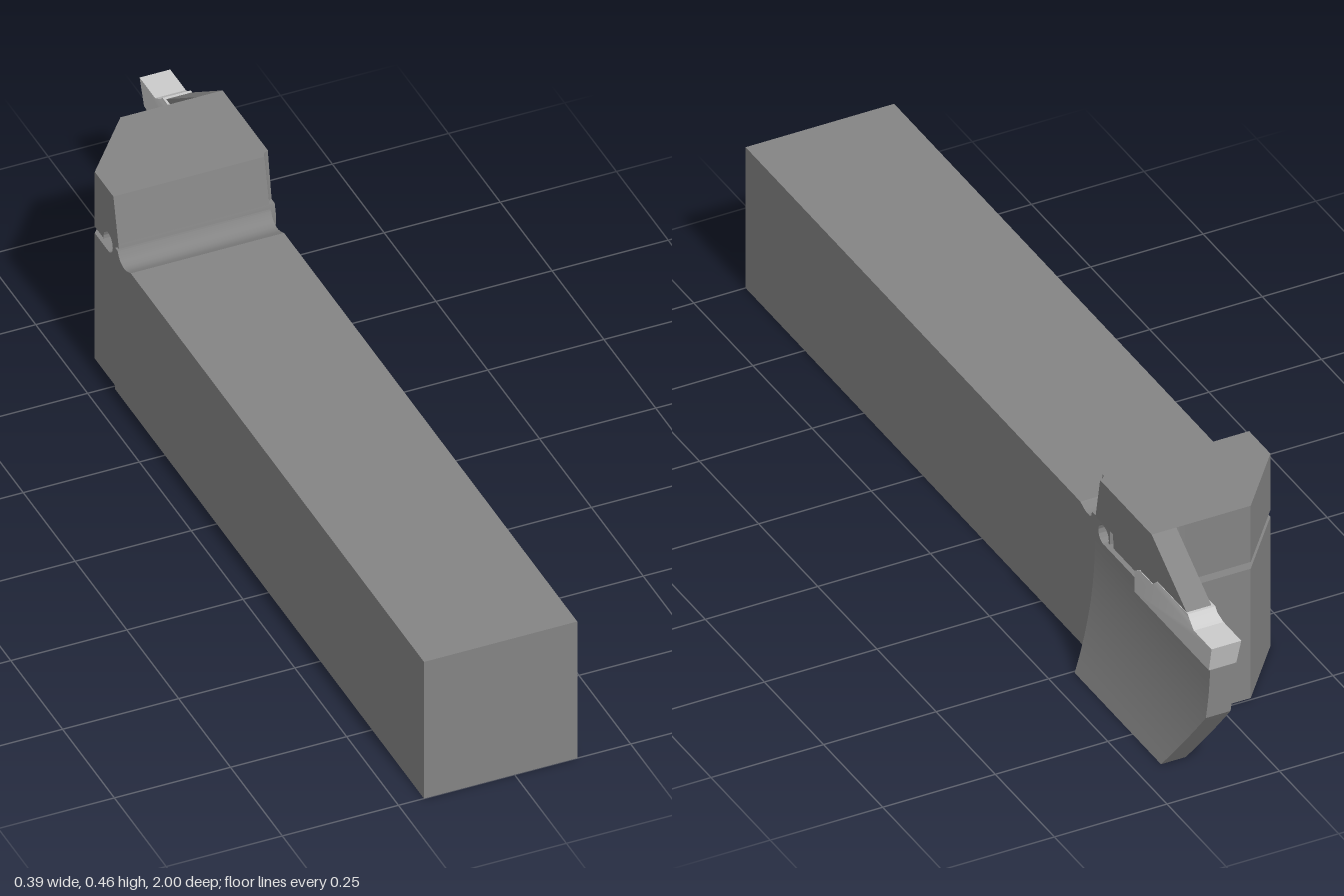
import * as THREE from 'three';
import { toCreasedNormals } from 'three/addons/utils/BufferGeometryUtils.js';

const steel = new THREE.MeshStandardMaterial({ color: 0x848484 });
const carbide = new THREE.MeshStandardMaterial({ color: 0xcccccc });

function part(name, geometry, material) {
  const mesh = new THREE.Mesh(toCreasedNormals(geometry, 0.4), material);
  mesh.name = name;
  return mesh;
}

// Extrude a side profile (u = -z, y) across the width from x0 to x1
function sideExtrude(shape, x0, x1) {
  const g = new THREE.ExtrudeGeometry(shape, { depth: x1 - x0, bevelEnabled: false, curveSegments: 32 });
  return g.rotateY(Math.PI / 2).translate(x0, 0, 0);
}
const polygon = (pts) => new THREE.Shape(pts.map(([u, y]) => new THREE.Vector2(u, y)));

// Curved outer flank of the head and blade
const flank = (y) => (y < 0.3 ? 0.146 + 0.049 * (1 - y / 0.3) ** 2 : 0.146 + 0.004 * (y - 0.3) / 0.155);

// Plan outline of the head at height y: zF is its shank side, zTip the blade end
function plan(y, zF, zTip) {
  const xo = flank(y), xi = xo - 0.055, r = 0.02;
  const pts = [[-0.19, zF], [-0.19, -0.6], [-0.07, -0.745]];
  // fillet between head and blade
  for (let i = 0; i <= 5; i++) {
    const a = (i / 5) * Math.PI / 2;
    pts.push([xi - r + r * Math.sin(a), Math.max(zTip, -0.745 - r * (1 - Math.cos(a)))]);
  }
  pts.push([xi, zTip], [xo, zTip]);
  // concave run-out towards the shank
  for (const [t, d] of [[1, 0.017], [0.4, 0.012], [0.15, 0.008], [0, 0]]) {
    pts.push([0.135 + (xo - 0.135) * t, zF - d]);
  }
  return pts;
}

// Join plan outlines at rising heights and cap both ends
function loft(levels) {
  const rings = levels.map(([y, zF, zTip]) => plan(y, zF, zTip).map(([x, z]) => [x, y, z]));
  const n = rings[0].length, pos = [];
  const tri = (a, b, c) => pos.push(...a, ...b, ...c);
  for (let k = 0; k < rings.length - 1; k++) {
    for (let i = 0; i < n; i++) {
      const j = (i + 1) % n, lo = rings[k], hi = rings[k + 1];
      tri(lo[i], hi[j], lo[j]);
      tri(lo[i], hi[i], hi[j]);
    }
  }
  for (const [ring, up] of [[rings[0], false], [rings[rings.length - 1], true]]) {
    const flat = ring.map((p) => new THREE.Vector2(p[0], p[2]));
    for (const [a, b, c] of THREE.ShapeUtils.triangulateShape(flat, [])) {
      const cross = flat[b].clone().sub(flat[a]).cross(flat[c].clone().sub(flat[a]));
      if ((cross < 0) === up) tri(ring[a], ring[b], ring[c]);
      else tri(ring[a], ring[c], ring[b]);
    }
  }
  const g = new THREE.BufferGeometry();
  g.setAttribute('position', new THREE.Float32BufferAttribute(pos, 3));
  return g;
}

export function createModel() {
  const model = new THREE.Group();
  model.name = 'groovingToolHolder';

  // Square shank with a relief groove in front of the head
  const shank = polygon([
    [-1, 0], [0.49, 0], [0.49, 0.345], [0.478, 0.345], [0.472, 0.334], [0.464, 0.327],
    [0.453, 0.323], [0.442, 0.323], [0.431, 0.326], [0.415, 0.333], [-1, 0.333],
  ]);
  model.add(part('shank', sideExtrude(shank, -0.195, 0.135), steel));

  // Lower head and blade, below the clamping slit
  const lower = [];
  for (let i = 0; i <= 10; i++) {
    const y = 0.0275 * i;
    lower.push([y, -0.488 + 0.008 * (y / 0.306), -0.87 - 0.115 * Math.min(1, y / 0.165)]);
  }
  lower.splice(6, 0, [0.1651, -0.484, -0.985]);
  lower.push([0.275, -0.481, -0.9], [0.306, -0.48, -0.9]);
  model.add(part('lowerHead', loft(lower), steel));

  // Spring hinge with the round end of the slit
  const hinge = new THREE.Shape();
  hinge.moveTo(0.48, 0.306);
  hinge.lineTo(0.535, 0.306);
  hinge.absarc(0.535, 0.328, 0.022, -Math.PI / 2, -0.276, true);
  hinge.lineTo(0.562, 0.322);
  hinge.lineTo(0.562, 0.355);
  hinge.lineTo(0.486, 0.355);
  hinge.lineTo(0.48, 0.333);
  model.add(part('springHinge', sideExtrude(hinge, -0.19, 0.1465), steel));

  // Upper clamping jaw with a sloped nose
  model.add(part('clampJaw', loft([
    [0.322, -0.56, -0.895], [0.35, -0.56, -0.895], [0.355, -0.56, -0.888],
    [0.355, -0.486, -0.888], [0.455, -0.51, -0.745],
  ]), steel));

  // Cutting insert, widest at its cutting edge
  const insert = sideExtrude(polygon([
    [0.67, 0.275], [0.984, 0.275], [1, 0.335], [0.925, 0.335], [0.905, 0.345], [0.895, 0.355],
    [0.765, 0.355], [0.745, 0.338], [0.69, 0.338], [0.67, 0.325],
  ]), -1, 1);
  const p = insert.attributes.position;
  for (let i = 0; i < p.count; i++) {
    const edge = p.getZ(i) < -0.92 && p.getY(i) > 0.3;
    p.setX(i, 0.118 + Math.sign(p.getX(i)) * (edge ? 0.033 : 0.0305));
  }
  model.add(part('cuttingInsert', insert, carbide));

  return model;
}
